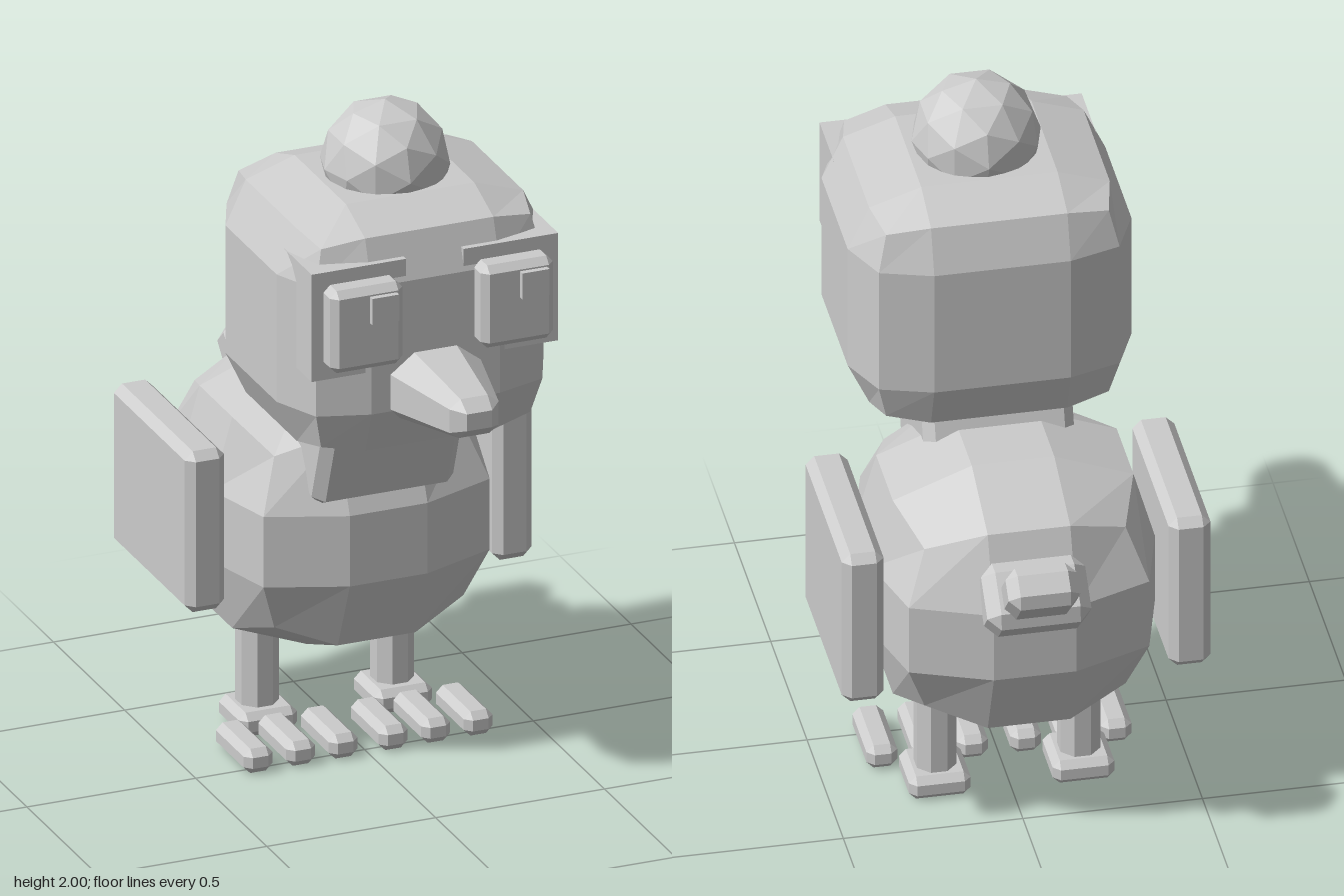
import * as THREE from 'three';
import { ConvexGeometry } from 'three/addons/geometries/ConvexGeometry.js';

const grey = new THREE.MeshStandardMaterial({ color: 0xcccccc, flatShading: true });
grey.name = 'plain grey';

function add(parent, name, geometry, x = 0, y = 0, z = 0, tilt = 0) {
  const mesh = new THREE.Mesh(geometry, grey);
  mesh.name = name;
  mesh.position.set(x, y, z);
  mesh.rotation.x = tilt;
  parent.add(mesh);
  return mesh;
}

// Box with chamfered edges, b = chamfer width
function chamferBox(w, h, d, b) {
  const points = [];
  for (const sx of [-1, 1]) for (const sy of [-1, 1]) for (const sz of [-1, 1]) {
    const x = w / 2, y = h / 2, z = d / 2;
    for (const [px, py, pz] of [[x, y - b, z - b], [x - b, y, z - b], [x - b, y - b, z]]) {
      points.push(new THREE.Vector3(sx * px, sy * py, sz * pz));
    }
  }
  return new ConvexGeometry(points);
}

// 3x3x3 box pulled round: separate reach for face, edge and corner vertices
function roundedBlock({ face, edge, corner, mid }) {
  const geometry = new THREE.BoxGeometry(2, 2, 2, 3, 3, 3).toNonIndexed();
  const pos = geometry.attributes.position;
  for (let i = 0; i < pos.count; i++) {
    const p = [pos.getX(i), pos.getY(i), pos.getZ(i)];
    const outer = p.filter((c) => Math.abs(c) > 0.9).length;
    const reach = [face, edge, corner][outer - 1];
    const q = p.map((c, k) => Math.sign(c) * (Math.abs(c) > 0.9 ? reach[k] : mid[k]));
    pos.setXYZ(i, ...q);
  }
  geometry.computeVertexNormals();
  return geometry;
}

export function createModel() {
  const model = new THREE.Group();
  model.name = 'bird';

  // Torso, neck and head
  add(model, 'body', roundedBlock({
    face: [0.395, 0.4, 0.42], edge: [0.335, 0.315, 0.335],
    corner: [0.28, 0.255, 0.28], mid: [0.115, 0.105, 0.115],
  }), 0, 0.68, -0.25);
  add(model, 'neck', chamferBox(0.42, 0.28, 0.4, 0.03), 0, 1, 0, 0.33);
  add(model, 'head', roundedBlock({
    face: [0.395, 0.365, 0.36], edge: [0.335, 0.317, 0.315],
    corner: [0.31, 0.295, 0.29], mid: [0.19, 0.19, 0.18],
  }), 0, 1.425, 0.14);
  add(model, 'pompom', new THREE.IcosahedronGeometry(0.18, 1), 0, 1.82, 0.145);

  // Beak: three cross-sections tapering forward
  const beakSections = [
    [0.45, [[0.067, 1.405], [0.145, 1.345], [0.145, 1.235], [0.11, 1.2]]],
    [0.77, [[0.04, 1.365], [0.073, 1.34], [0.073, 1.27], [0.045, 1.25]]],
    [0.81, [[0.037, 1.335], [0.037, 1.285]]],
  ];
  const beakPoints = beakSections.flatMap(([z, ring]) => ring.flatMap(([x, y]) =>
    [new THREE.Vector3(x, y, z), new THREE.Vector3(-x, y, z)]));
  add(model, 'beak', new ConvexGeometry(beakPoints));

  // Tail: wide base and narrower tip, leaning back
  add(model, 'tailBase', chamferBox(0.29, 0.14, 0.19, 0.035), 0, 0.83, -0.66, -0.75);
  add(model, 'tailTip', chamferBox(0.2, 0.18, 0.12, 0.03), 0, 0.89, -0.735, -0.75);

  for (const side of [-1, 1]) {
    const label = side > 0 ? 'left' : 'right';

    // Eye socket block, eye and pupil
    add(model, label + 'EyeSocket', new THREE.BoxGeometry(0.28, 0.32, 0.195), side * 0.225, 1.52, 0.3975);
    add(model, label + 'Eye', chamferBox(0.215, 0.245, 0.09, 0.02), side * 0.223, 1.518, 0.515);
    add(model, label + 'Pupil', new THREE.BoxGeometry(0.08, 0.078, 0.03),
      side > 0 ? 0.265 : -0.18, 1.577, 0.562);

    // Wing
    add(model, label + 'Wing', chamferBox(0.117, 0.48, 0.545, 0.024), side * 0.455, 0.715, -0.295);

    // Leg and foot
    const leg = new THREE.CylinderGeometry(0.06, 0.06, 0.36, 8);
    leg.rotateY(Math.PI / 8);
    add(model, label + 'Leg', leg, side * 0.2, 0.22, -0.28);
    const foot = new THREE.Group();
    foot.name = label + 'Foot';
    foot.position.set(side * 0.2, 0.036, 0);
    add(foot, 'heel', chamferBox(0.172, 0.072, 0.18, 0.02), 0, 0, -0.275);
    for (const x of [-0.126, 0, 0.126]) {
      add(foot, 'toe', chamferBox(0.086, 0.072, 0.235, 0.02), x, 0, -0.0725);
    }
    model.add(foot);
  }
  return model;
}
